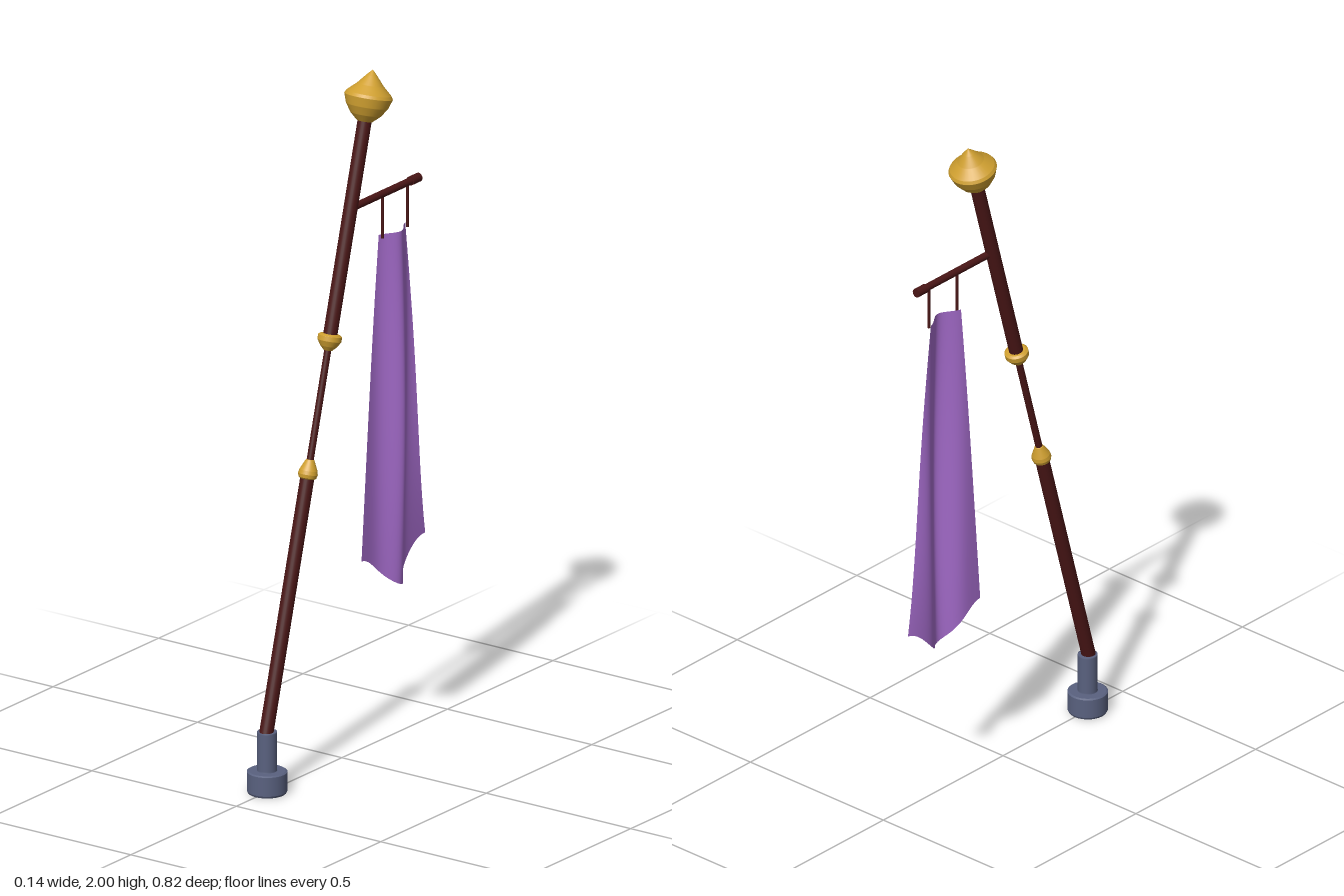
import * as THREE from 'three';

const material = (color, side = THREE.FrontSide) =>
  new THREE.MeshStandardMaterial({ color, side });

const wood = material(0x4a1616);
const gold = material(0xd0a030);
const steel = material(0x59617f);
const cloth = material(0xa56ccc, THREE.DoubleSide);

function add(parent, name, geometry, mat, x = 0, y = 0, z = 0) {
  const mesh = new THREE.Mesh(geometry, mat);
  mesh.name = name;
  mesh.position.set(x, y, z);
  parent.add(mesh);
  return mesh;
}

// Lathe from [radius, height] pairs; each straight run keeps its own crisp edge
function turned(points, segments = 32) {
  const profile = [];
  points.forEach(([r, y], i) => {
    profile.push(new THREE.Vector2(r, y));
    const next = points[i + 1];
    if (next) {
      // short supports beside each corner keep the edges sharp
      for (const t of [0.03, 0.97]) {
        profile.push(new THREE.Vector2(r + (next[0] - r) * t, y + (next[1] - y) * t));
      }
    }
  });
  return new THREE.LatheGeometry(profile, segments);
}

function rod(radius, from, to) {
  return new THREE.CylinderGeometry(radius, radius, to - from, 24).translate(0, (from + to) / 2, 0);
}

// Hanging cloth: flares downward, with one vertical fold and a pointed hem
function bannerGeometry() {
  const geometry = new THREE.PlaneGeometry(2, 1, 40, 30);
  const pos = geometry.attributes.position;
  for (let i = 0; i < pos.count; i++) {
    const u = pos.getX(i);
    const v = 0.5 - pos.getY(i);
    const front = -0.178 + 0.074 * v;
    const back = -0.305 - 0.06 * v - 0.041 * v ** 4;
    const z = front + (back - front) * (u + 1) / 2;
    const y = 1.5 - v * (0.95 + 0.1 * Math.cos(u * Math.PI / 2) ** 2);
    const swell = Math.sin(Math.PI * v);
    const fold = (0.037 + 0.014 * swell) * Math.exp(-(((z + 0.24) / 0.045) ** 2));
    const curl = 0.018 * swell * Math.max(u, 0) ** 2
      - 0.008 * v * Math.sin(Math.PI * Math.max(u, 0));
    pos.setXYZ(i, -0.008 + fold + curl, y, z);
  }
  geometry.computeVertexNormals();
  return geometry;
}

export function createModel() {
  const model = new THREE.Group();
  model.name = 'leaningBannerStaff';

  // Upright foot socket with a hollow underside
  add(model, 'footSocket', turned([
    [0, 0.03], [0.042, 0.03], [0.046, 0], [0.054, 0], [0.057, 0.006], [0.057, 0.062],
    [0.052, 0.065], [0.028, 0.065], [0.028, 0.18], [0, 0.18],
  ]), steel, 0, 0, 0.354);

  // Leaning staff, built upright along its own axis
  const staff = new THREE.Group();
  staff.name = 'staff';
  staff.position.set(0, 0.18, 0.357);
  staff.rotation.x = -0.27;
  model.add(staff);

  add(staff, 'lowerPole', rod(0.02, -0.02, 0.745), wood);
  add(staff, 'grip', rod(0.01, 0.74, 1.115), wood);
  add(staff, 'upperPole', rod(0.02, 1.11, 1.755), wood);

  // Gold collars at both ends of the grip
  add(staff, 'lowerCollar', turned([
    [0.018, 0.72], [0.025, 0.725], [0.028, 0.735], [0.026, 0.746], [0.012, 0.776], [0, 0.78],
  ]), gold);
  add(staff, 'upperCollar', turned([
    [0, 1.086], [0.012, 1.088], [0.024, 1.1], [0.034, 1.116], [0.034, 1.13], [0.027, 1.135], [0.019, 1.135],
  ]), gold);

  // Pointed finial
  add(staff, 'finial', turned([
    [0, 1.742], [0.022, 1.742], [0.044, 1.762], [0.06, 1.786], [0.069, 1.813],
    [0.064, 1.822], [0.038, 1.846], [0.016, 1.872], [0, 1.889],
  ]), gold);

  // Crossbar reaching backward from the staff
  const barX = 0.006;
  add(model, 'crossbar', rod(0.0105, 0, 0.305).rotateX(-Math.PI / 2), wood, barX, 1.622, -0.035);
  add(model, 'crossbarEnd', rod(0.013, 0, 0.04).rotateX(-Math.PI / 2), wood, barX, 1.622, -0.316);

  // Cords and banner
  for (const z of [-0.185, -0.303]) {
    add(model, 'cord', rod(0.004, 1.49, 1.622), wood, barX, 0, z);
  }
  add(model, 'banner', bannerGeometry(), cloth);

  return model;
}
